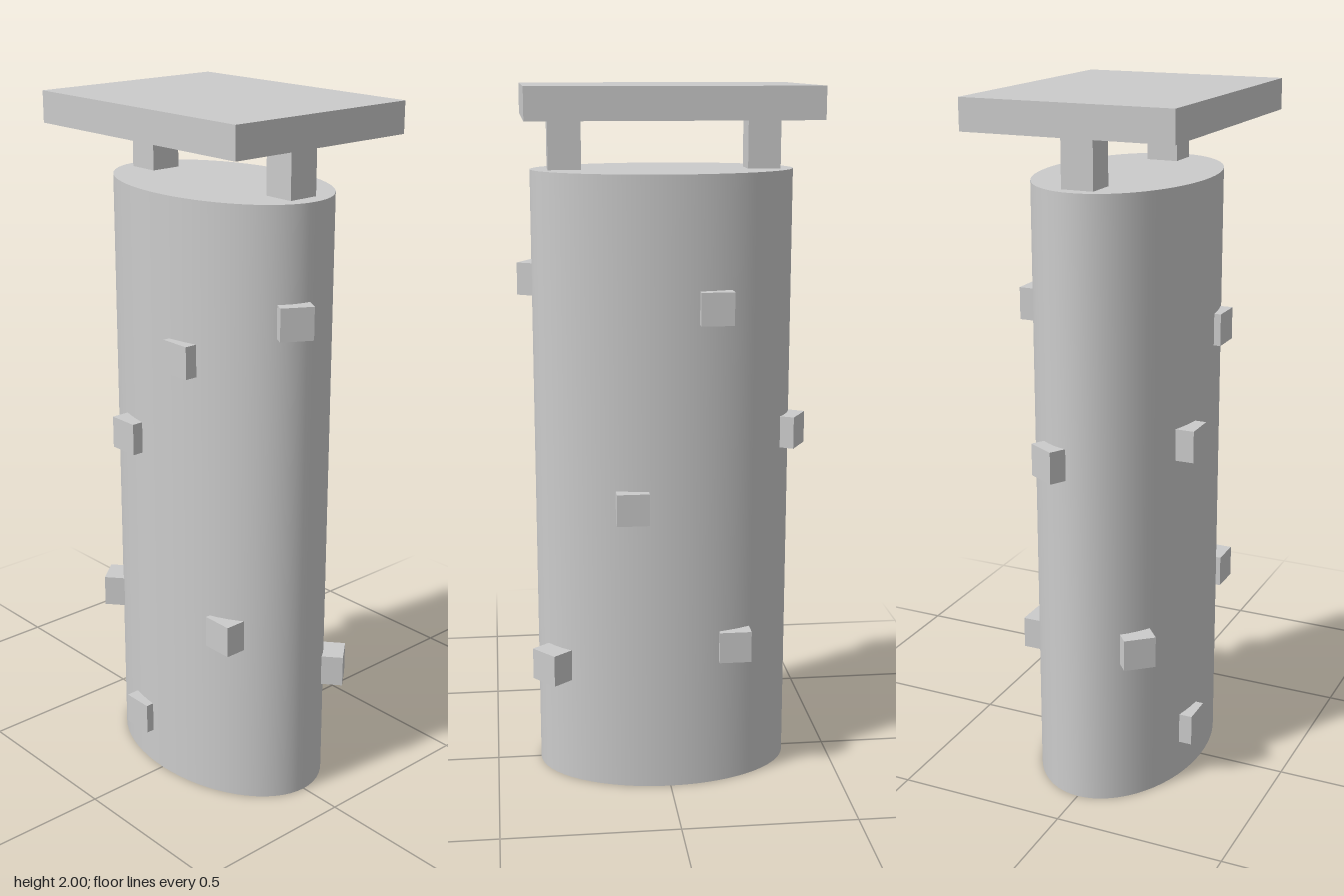
import * as THREE from 'three';

const material = new THREE.MeshStandardMaterial({ color: 0xcccccc });

export function createModel() {
  const model = new THREE.Group();
  model.name = 'climbingTower';

  const add = (name, geometry, x, y, z, turn = 0) => {
    const mesh = new THREE.Mesh(geometry, material);
    mesh.name = name;
    mesh.position.set(x, y, z);
    mesh.rotation.y = THREE.MathUtils.degToRad(turn);
    model.add(mesh);
    return mesh;
  };

  // Elliptical column
  const column = new THREE.CylinderGeometry(1, 1, 1.77, 64);
  column.scale(0.24, 1, 0.37);
  add('column', column, 0, 0.885, 0);

  // Roof slab on two short posts
  add('roof', new THREE.BoxGeometry(0.604, 0.088, 0.79), 0, 1.956, -0.005);
  const post = new THREE.BoxGeometry(0.092, 0.15, 0.092);
  add('frontPost', post, 0, 1.84, 0.275);
  add('backPost', post, 0, 1.84, -0.283);

  // Holds: x and z of the outer face centre, height, outward direction in degrees from +z
  const holds = [
    [-0.08, 1.46, 0.388, -30],
    [0.26, 1.41, -0.125, 90],
    [-0.257, 1.333, 0.10, -90],
    [-0.268, 1.055, -0.12, -90],
    [0.09, 1.027, -0.388, 150],
    [0.26, 0.85, 0.108, 90],
    [-0.222, 0.532, 0.23, -90],
    [-0.18, 0.48, -0.328, -140],
    [0.237, 0.422, -0.188, 90],
    [0.165, 0.356, 0.362, 40],
    [-0.262, 0.155, -0.09, -90],
  ];
  const hold = new THREE.BoxGeometry(0.092, 0.092, 0.09);
  hold.translate(0, 0, -0.045); // origin on the outer face
  holds.forEach(([x, y, z, turn], i) => add(`hold${i + 1}`, hold, x, y, z, turn));

  return model;
}
